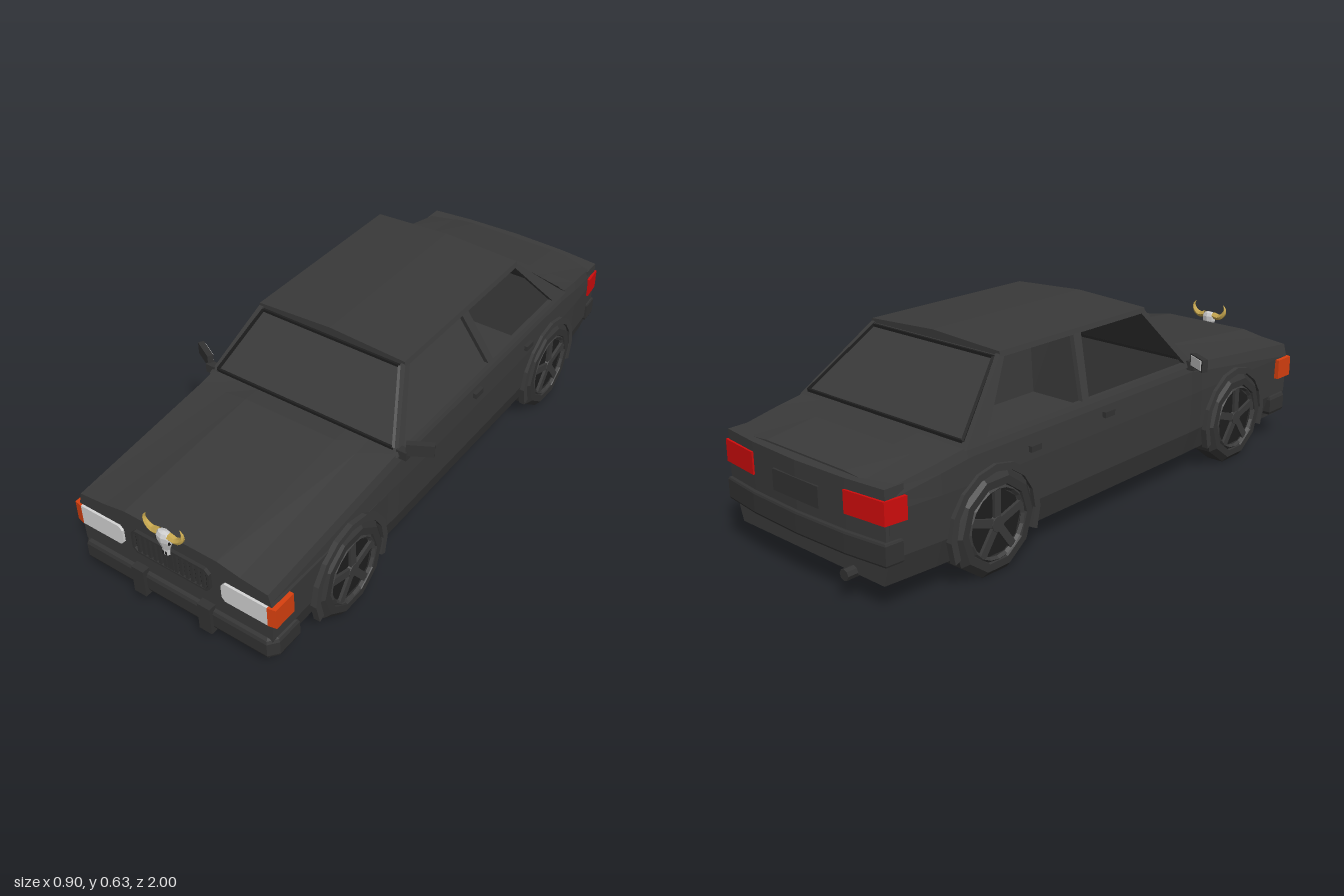
import * as THREE from 'three';

const paint = (name, color) => new THREE.MeshStandardMaterial({ name, color, flatShading: true, side: THREE.DoubleSide });

export function createModel() {
  const car = new THREE.Group();
  car.name = 'sedan';
  const body = paint('body charcoal', 0x3a3a3a);
  const trim = paint('trim dark grey', 0x333333);
  const dark = paint('recess black', 0x1e1e1e);
  const lamp = paint('lamp white', 0xd4d4d4);
  const orange = paint('indicator orange', 0xd8400f);
  const red = paint('tail red', 0xd00c0c);
  const bone = paint('bone', 0xcfcfcf);
  const gold = paint('horn gold', 0xc9a94f);

  const add = (name, geo, mat, parent = car) => {
    const m = new THREE.Mesh(geo, mat);
    m.name = name;
    parent.add(m);
    return m;
  };
  const box = (name, mat, w, h, d, x, y, z, parent = car) => {
    const m = add(name, new THREE.BoxGeometry(w, h, d), mat, parent);
    m.position.set(x, y, z);
    return m;
  };
  const toShape = (pts) => new THREE.Shape(pts.map(([x, y]) => new THREE.Vector2(x, y)));

  // Plan outline in (x, z), raised from y0 to y1
  const slab = (name, mat, pts, y0, y1, bevel = 0) => {
    const geo = new THREE.ExtrudeGeometry(toShape(pts.map(([x, z]) => [x, -z])), {
      depth: y1 - y0 - 2 * bevel, bevelEnabled: bevel > 0, bevelSize: bevel,
      bevelThickness: bevel, bevelOffset: -bevel, bevelSegments: 2 });
    geo.rotateX(-Math.PI / 2).translate(0, y0 + bevel, 0);
    return add(name, geo, mat);
  };

  // Skin through mirrored half sections, listed front to back
  const loft = (name, mat, stations) => {
    const pos = [], idx = [];
    let n = 0;
    for (const [z, half] of stations) {
      const ring = [...half, ...half.slice(1, -1).reverse().map(([x, y]) => [-x, y])];
      n = ring.length;
      for (const [x, y] of ring) pos.push(x, y, z);
    }
    for (let s = 0; s < stations.length - 1; s++) for (let i = 0; i < n; i++) {
      const a = s * n + i, b = s * n + (i + 1) % n;
      idx.push(a, a + n, b, b, a + n, b + n);
    }
    const last = (stations.length - 1) * n;
    for (let i = 1; i < n - 1; i++) idx.push(0, i, i + 1, last, last + i + 1, last + i);
    const geo = new THREE.BufferGeometry();
    geo.setAttribute('position', new THREE.Float32BufferAttribute(pos, 3));
    geo.setIndex(idx);
    geo.computeVertexNormals();
    return add(name, geo, mat);
  };

  // Lower body: bonnet, open cabin tub and boot in one skin
  const section = (w, edge, top, tub) => [
    [0, 0.08], [w - 0.03, 0.08], [w - 0.004, 0.165], [w, 0.3], [w - 0.004, edge - 0.03], [w - 0.012, edge],
    tub ? [w - 0.03, 0.16] : [0.25, edge + (top - edge) * 0.4],
    tub ? [0.17, 0.16] : [0.17, top], [0, tub ? 0.16 : top]];
  loft('body', body, [
    [0.965, section(0.357, 0.342, 0.366)],
    [0.42, section(0.362, 0.398, 0.414)],
    [0.36, section(0.364, 0.407, 0.412)],
    [0.345, section(0.364, 0.408, 0.412, true)],
    [-0.66, section(0.364, 0.407, 0.41, true)],
    [-0.68, section(0.364, 0.405, 0.407)],
    [-0.78, section(0.36, 0.39, 0.397)],
    [-0.955, section(0.345, 0.362, 0.373)]]);

  // Side window frames, leaning inwards
  const sideX = (y) => 0.358 - (y - 0.405) * 0.42;
  for (const s of [1, -1]) {
    const frame = toShape([[0.37, 0.4], [0.2, 0.61], [-0.46, 0.61], [-0.69, 0.4]]);
    frame.holes.push(
      toShape([[0.325, 0.414], [0.185, 0.597], [-0.115, 0.597], [-0.165, 0.414]]),
      toShape([[-0.195, 0.414], [-0.15, 0.597], [-0.45, 0.597], [-0.6, 0.414]]));
    const geo = new THREE.ExtrudeGeometry(frame, { depth: 0.016, bevelEnabled: false });
    const p = geo.attributes.position;
    for (let i = 0; i < p.count; i++) {
      const z = p.getX(i), y = p.getY(i);
      p.setXYZ(i, s * (sideX(y) - p.getZ(i)), y, z);
    }
    geo.computeVertexNormals();
    add('sideWindowFrame', geo, body);
  }

  // Crowned roof
  const roofEnd = [[0, 0.595], [0.277, 0.598], [0.272, 0.613], [0, 0.627]];
  loft('roof', body, [[0.205, roofEnd], [-0.465, roofEnd]]);

  // Windscreen and rear window, each with a seal round the glass
  const screen = (name, zLow, zHigh) => {
    const at = (x, t) => new THREE.Vector3(x, 0.405 + 0.2 * t, zLow + (zHigh - zLow) * t);
    const geo = new THREE.BufferGeometry().setFromPoints([at(-0.357, 0), at(0.357, 0), at(0.274, 1), at(-0.274, 1)]);
    geo.setIndex(zLow > 0 ? [0, 1, 2, 0, 2, 3] : [0, 2, 1, 0, 3, 2]);
    geo.computeVertexNormals();
    add(name, geo, body);
    const c = [at(-0.335, 0.06), at(0.335, 0.06), at(0.256, 0.95), at(-0.256, 0.95)];
    c.forEach((a, i) => {
      const b = c[(i + 1) % 4];
      const seal = add(name + 'Seal', new THREE.BoxGeometry(0.009, 0.009, a.distanceTo(b)), dark);
      seal.position.copy(a).lerp(b, 0.5);
      seal.lookAt(b);
    });
  };
  screen('windscreen', 0.365, 0.2);
  screen('rearWindow', -0.69, -0.46);

  // Curved tail panel, bumpers and front guards
  slab('tailPanel', body, [[-0.343, -0.9], [-0.342, -0.966], [-0.2, -0.982], [0, -0.99], [0.2, -0.982], [0.342, -0.966], [0.343, -0.9]], 0.21, 0.368);
  slab('rearBumper', trim, [[-0.352, -0.915], [-0.348, -0.975], [-0.2, -0.993], [0, -1], [0.2, -0.993], [0.348, -0.975], [0.352, -0.915]], 0.148, 0.22, 0.008);
  slab('frontBumper', trim, [[-0.364, 0.86], [-0.364, 0.95], [-0.34, 0.98], [0.34, 0.98], [0.364, 0.95], [0.364, 0.86]], 0.093, 0.167, 0.014);
  box('frontApron', trim, 0.66, 0.025, 0.1, 0, 0.088, 0.91);
  box('numberPlateRecess', trim, 0.2, 0.065, 0.012, 0, 0.285, -0.987);
  const pipe = add('exhaust', new THREE.CylinderGeometry(0.018, 0.018, 0.12, 8).rotateX(Math.PI / 2), trim);
  pipe.position.set(-0.19, 0.085, -0.93);

  // Grille with upright slats
  const gr = toShape([[-0.145, 0.25], [-0.13, 0.235], [0.13, 0.235], [0.145, 0.25], [0.145, 0.305], [0.13, 0.32], [-0.13, 0.32], [-0.145, 0.305]]);
  const opening = toShape([[-0.136, 0.252], [-0.126, 0.242], [0.126, 0.242], [0.136, 0.252], [0.136, 0.303], [0.126, 0.313], [-0.126, 0.313], [-0.136, 0.303]]);
  add('grilleBacking', new THREE.ShapeGeometry(opening).translate(0, 0, 0.967), dark);
  gr.holes.push(opening);
  add('grilleFrame', new THREE.ExtrudeGeometry(gr, { depth: 0.014, bevelEnabled: false }).translate(0, 0, 0.962), trim);
  for (let i = -6; i <= 6; i++) box('grilleSlat', trim, i ? 0.011 : 0.022, 0.072, 0.01, i * 0.02, 0.278, 0.97);

  // Paired parts on both sides
  for (const s of [1, -1]) {
    const mirror = (pts) => pts.map(([x, z]) => [s * x, z]);
    box('bumperGuard', trim, 0.046, 0.1, 0.05, s * 0.125, 0.131, 0.966);
    const light = toShape(mirror([[0.183, 0.243], [0.195, 0.23], [0.345, 0.23], [0.345, 0.3], [0.195, 0.3], [0.183, 0.287]]));
    add('headlight', new THREE.ExtrudeGeometry(light, { depth: 0.009, bevelEnabled: false }).translate(0, 0, 0.964), lamp);
    slab('indicator', orange, mirror([[0.345, 0.974], [0.372, 0.968], [0.372, 0.89], [0.345, 0.89]]), 0.23, 0.3);
    slab('tailLight', red, mirror([[0.2, -0.988], [0.347, -0.973], [0.356, -0.9], [0.335, -0.9], [0.33, -0.95], [0.2, -0.965]]), 0.268, 0.337);
    box('doorHandle', trim, 0.016, 0.018, 0.045, s * 0.366, 0.352, -0.085);
    box('doorHandle', trim, 0.016, 0.018, 0.042, s * 0.366, 0.336, -0.42);

    // Door mirror
    const door = new THREE.Group();
    door.name = 'doorMirror';
    door.position.set(s * 0.41, 0.428, 0.325);
    door.rotation.y = s * 0.5;
    car.add(door);
    box('mirrorHousing', trim, 0.085, 0.042, 0.02, 0, 0, 0, door);
    box('mirrorGlass', lamp, 0.07, 0.034, 0.003, 0, 0, -0.011, door);
    box('mirrorArm', trim, 0.035, 0.03, 0.025, s * 0.365, 0.406, 0.347);

    // Wheels and arches
    for (const z of [0.617, -0.584]) {
      const wheel = new THREE.Group();
      wheel.name = 'wheel';
      wheel.position.set(s * 0.33, 0.155, z);
      wheel.rotation.y = s > 0 ? 0 : Math.PI;
      car.add(wheel);
      const profile = [[0, -0.05], [0.14, -0.05], [0.163, -0.03], [0.163, 0.03], [0.142, 0.048], [0.118, 0.048], [0.112, 0.034], [0, 0.034]];
      add('tyre', new THREE.LatheGeometry(profile.map(([r, y]) => new THREE.Vector2(r, y)), 10).rotateZ(-Math.PI / 2), trim, wheel);
      add('rimBacking', new THREE.CircleGeometry(0.1, 10).rotateY(Math.PI / 2).translate(0.036, 0, 0), dark, wheel);
      add('rimRing', new THREE.TorusGeometry(0.107, 0.008, 4, 20).rotateY(Math.PI / 2).translate(0.04, 0, 0), body, wheel);
      add('hub', new THREE.CylinderGeometry(0.024, 0.028, 0.016, 10).rotateZ(-Math.PI / 2).translate(0.04, 0, 0), body, wheel);
      for (let i = 0; i < 5; i++) {
        const spoke = new THREE.BoxGeometry(0.01, 0.1, 0.025).translate(0.041, 0.055, 0).rotateX(i * Math.PI * 0.4);
        add('spoke', spoke, body, wheel);
      }
      const arc = (r, i) => {
        const t = -0.4 + i * (Math.PI + 0.8) / 10;
        return [r * Math.cos(t), r * Math.sin(t)];
      };
      const steps = [...Array(11).keys()];
      const arch = toShape([...steps.map((i) => arc(0.18, i)), ...steps.reverse().map((i) => arc(0.158, i))]);
      const geo = new THREE.ExtrudeGeometry(arch, { depth: 0.022, bevelEnabled: false }).rotateY(Math.PI / 2);
      const flare = add('wheelArch', geo, body);
      flare.position.set(s > 0 ? 0.352 : -0.374, 0.155, z);
    }
  }

  // Horned skull ornament on the nose
  const skull = [[0, 0.308], [0.013, 0.314], [0.014, 0.335], [0.028, 0.368], [0.029, 0.385], [0.02, 0.398], [0, 0.402]];
  add('skull', new THREE.LatheGeometry(skull.map(([r, y]) => new THREE.Vector2(r, y)), 8).scale(1, 1, 0.6).translate(0, 0, 0.982), bone);
  for (const s of [1, -1]) {
    box('eyeSocket', dark, 0.009, 0.011, 0.01, s * 0.02, 0.369, 0.987);
    box('nostril', dark, 0.004, 0.012, 0.006, s * 0.005, 0.322, 0.988);
    const path = new THREE.CatmullRomCurve3([[0.018, 0.39], [0.045, 0.386], [0.066, 0.402], [0.07, 0.42], [0.062, 0.436]]
      .map(([x, y]) => new THREE.Vector3(s * x, y, 0.982)));
    const horn = new THREE.TubeGeometry(path, 12, 0.012, 6);
    const p = horn.attributes.position, v = new THREE.Vector3();
    for (let i = 0; i < p.count; i++) {
      const u = Math.floor(i / 7) / 12;
      v.fromBufferAttribute(p, i).lerp(path.getPointAt(u), u * u * 0.95);
      p.setXYZ(i, v.x, v.y, v.z);
    }
    add('horn', horn, gold);
  }
  return car;
}
